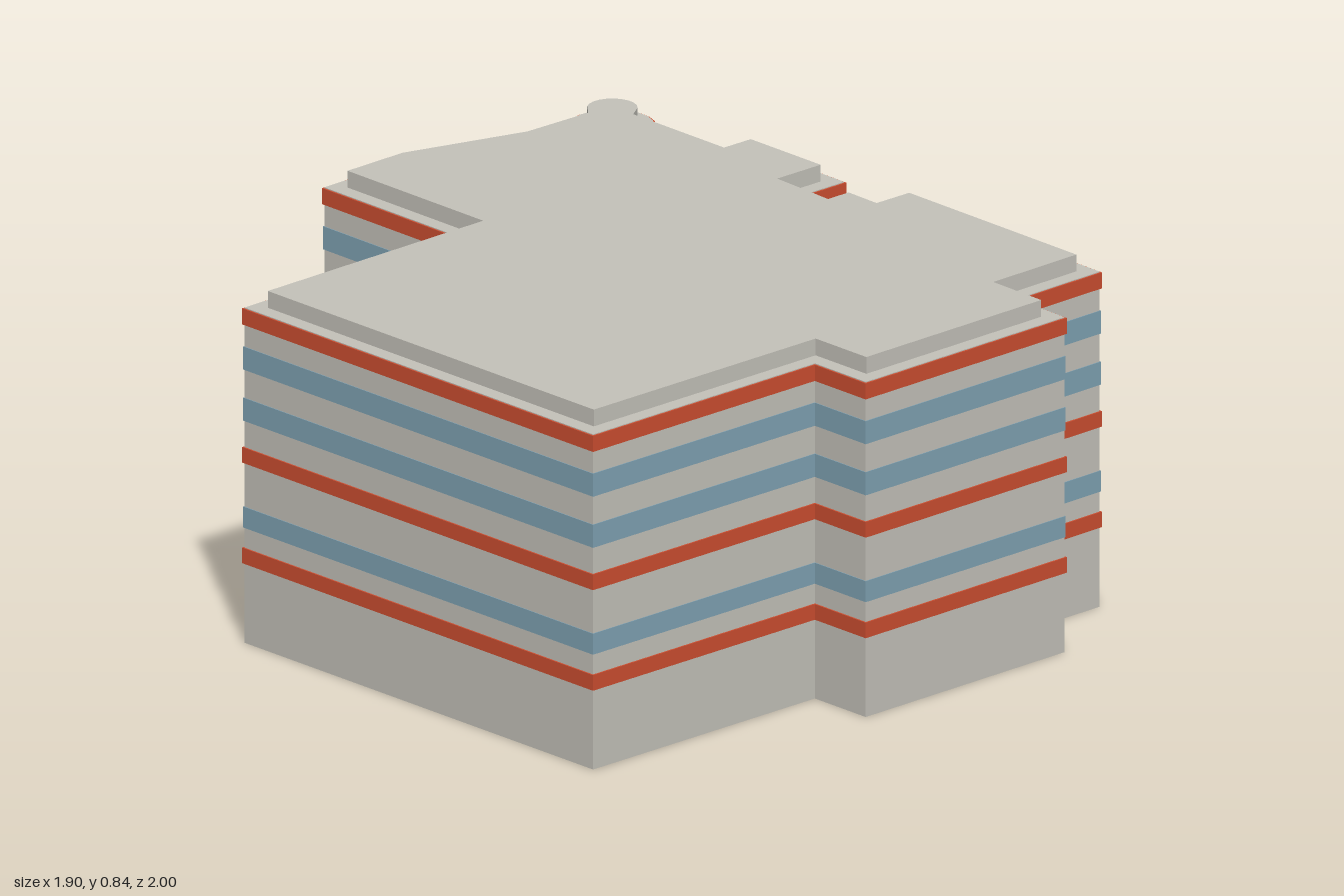
import * as THREE from 'three';

const mat = (name, color) => Object.assign(new THREE.MeshStandardMaterial({ color }), { name });

// Footprint in plan as [x, -z], counter-clockwise
function footprint() {
  const pts = [
    [-0.948, 0.037], [-0.467, -0.99], [0.15, -0.71], [0.22, -0.86], [0.775, -0.602],
    [0.71, -0.457], [0.943, -0.347], [0.684, 0.218], [0.594, 0.178], [0.556, 0.264],
    [0.5, 0.238], [0.462, 0.331], [0.584, 0.386], [0.457, 0.66], [0.383, 0.627],
  ];
  // Rounded stair turret
  const n = 12;
  for (let i = 0; i <= n; i++) {
    const a = THREE.MathUtils.degToRad(-40 + (214 * i) / n);
    pts.push([0.21 + 0.094 * Math.cos(a), 0.906 + 0.094 * Math.sin(a)]);
  }
  pts.push([-0.03, 0.853], [-0.34, 0.81], [-0.532, 0.72], [-0.346, 0.317]);
  return pts.map(([x, y]) => new THREE.Vector2(x, y));
}

// Mitred offset: positive grows the outline, negative shrinks it
function offset(pts, d) {
  const n = pts.length;
  const normal = (a, b) => new THREE.Vector2(b.y - a.y, a.x - b.x).normalize();
  return pts.map((p, i) => {
    const n1 = normal(pts[(i + n - 1) % n], p);
    const n2 = normal(p, pts[(i + 1) % n]);
    return n1.clone().add(n2).multiplyScalar(d / (1 + n1.dot(n2))).add(p);
  });
}

export function createModel() {
  const group = new THREE.Group();
  group.name = 'building';
  const wall = mat('wall grey', 0xc4c2ba);
  const red = mat('band red', 0xcc4e30);
  const blue = mat('window blue', 0x7fa2b3);
  const outline = footprint();

  const slab = (name, material, grow, y0, y1) => {
    const geo = new THREE.ExtrudeGeometry(new THREE.Shape(offset(outline, grow)), {
      depth: y1 - y0, bevelEnabled: false,
    });
    geo.rotateX(-Math.PI / 2).translate(0, y0, 0);
    const mesh = new THREE.Mesh(geo, material);
    mesh.name = name;
    group.add(mesh);
  };

  // Main block and raised roof
  slab('walls', wall, 0, 0, 0.8);
  slab('roof', wall, -0.037, 0.8, 0.84);

  // Red floor bands and blue window strips wrap the whole outline
  [[0.19, 0.227], [0.43, 0.467], [0.76, 0.798]].forEach(([a, b], i) =>
    slab('redBand' + (i + 1), red, 0.004, a, b));
  [[0.275, 0.325], [0.53, 0.585], [0.652, 0.707]].forEach(([a, b], i) =>
    slab('windowStrip' + (i + 1), blue, 0.002, a, b));

  // Entrance glazing with canopy on the rear wall
  const entrance = new THREE.Group();
  entrance.name = 'entrance';
  entrance.position.set(-0.645, 0, -0.178);
  entrance.rotation.y = 0.436;
  const box = (name, material, w, y0, y1, depth) => {
    const mesh = new THREE.Mesh(new THREE.BoxGeometry(w, y1 - y0, depth), material);
    mesh.position.set(0, (y0 + y1) / 2, -depth / 2);
    mesh.name = name;
    entrance.add(mesh);
  };
  box('entranceGlass', blue, 0.4, 0.06, 0.76, 0.018);
  box('entranceCanopy', red, 0.404, 0.145, 0.17, 0.037);
  group.add(entrance);

  return group;
}
